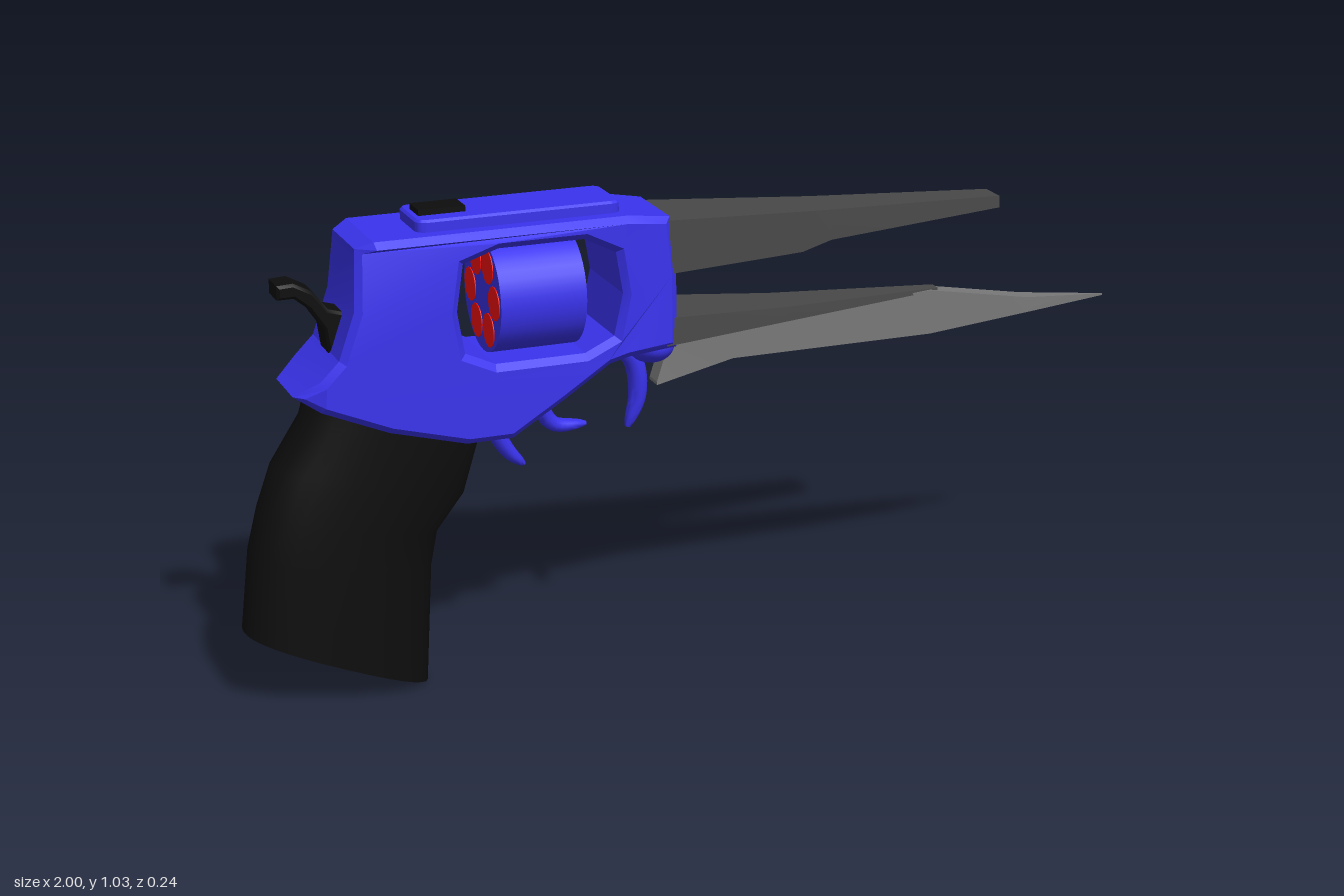
import * as THREE from 'three';
import { toCreasedNormals } from 'three/addons/utils/BufferGeometryUtils.js';

const V = (x, y, z = 0) => new THREE.Vector3(x, y, z);
const mat = (color) => new THREE.MeshStandardMaterial({ color });

// Skin between rings of points, with both ends closed
function loft(rings, crease = 0.5) {
  const out = [];
  const tri = (...p) => p.forEach((v) => out.push(v.x, v.y, v.z));
  const n = rings[0].length;
  const centre = (r) => r.reduce((s, p) => s.add(p), V(0, 0)).divideScalar(n);
  const first = rings[0], last = rings[rings.length - 1];
  const c0 = centre(first), c1 = centre(last);
  for (let j = 0; j < n; j++) {
    const k = (j + 1) % n;
    for (let i = 0; i < rings.length - 1; i++) {
      const a = rings[i], b = rings[i + 1];
      tri(a[j], a[k], b[k]);
      tri(a[j], b[k], b[j]);
    }
    tri(c0, first[k], first[j]);
    tri(c1, last[j], last[k]);
  }
  const g = new THREE.BufferGeometry();
  g.setAttribute('position', new THREE.Float32BufferAttribute(out, 3));
  return toCreasedNormals(g, crease);
}

// Tapered bar along x from sections [x, bottom, top, half width]
const bar = (sections) => loft(sections.map(([x, b, t, w]) =>
  [V(x, t, -w * 0.96), V(x, t, w * 0.96), V(x, b, w), V(x, b, -w)]), 0.3);

// Curved finger piece that thins toward its tip
function hook(points, radius, depth) {
  const curve = new THREE.CatmullRomCurve3(points.map((p) => V(...p)));
  const rings = [], n = 18, m = 12;
  for (let i = 0; i <= n; i++) {
    const u = i / n, c = curve.getPointAt(u), t = curve.getTangentAt(u);
    const s = Math.sqrt(1 - 0.93 * u ** 3);
    rings.push(Array.from({ length: m }, (_, j) => {
      const a = (j / m) * Math.PI * 2, r = radius * s * Math.cos(a);
      return V(c.x - t.y * r, c.y + t.x * r, depth * s * Math.sin(a));
    }));
  }
  return loft(rings, 0.8);
}

// Flat outline extruded evenly about z = 0
function slab(shape, depth, bevel) {
  const g = new THREE.ExtrudeGeometry(shape, {
    depth: depth - 2 * bevel, bevelEnabled: bevel > 0, bevelSize: bevel,
    bevelThickness: bevel, bevelOffset: -bevel, bevelSegments: 1, curveSegments: 6,
  });
  return g.translate(0, 0, -depth / 2 + bevel);
}
const outline = (pts) => new THREE.Shape(pts.map(([x, y]) => new THREE.Vector2(x, y)));

export function createModel() {
  const model = new THREE.Group();
  const blue = mat(0x3a33ee), black = mat(0x0d0d0d), dark = mat(0x484848);
  const light = mat(0x787878), red = mat(0xff1010);
  const add = (name, geometry, material, parent = model) => {
    const mesh = new THREE.Mesh(geometry, material);
    mesh.name = name;
    parent.add(mesh);
    return mesh;
  };

  // Frame with an open window, narrowed at the nose and the rear spur
  const body = outline([
    [-0.755, 0.985], [-0.765, 0.86], [-0.8, 0.76], [-0.84, 0.72], [-0.89, 0.685],
    [-0.84, 0.655], [-0.7, 0.595], [-0.535, 0.55], [-0.435, 0.55], [-0.32, 0.62],
    [-0.22, 0.685], [-0.18, 0.695], [-0.065, 0.7], [-0.065, 0.86], [-0.08, 0.985],
    [-0.18, 1.0], [-0.72, 1.0],
  ]);
  body.holes.push(outline([
    [-0.535, 0.935], [-0.46, 0.96], [-0.275, 0.96], [-0.205, 0.925], [-0.19, 0.835],
    [-0.21, 0.745], [-0.275, 0.715], [-0.47, 0.715], [-0.535, 0.745], [-0.55, 0.835],
  ]));
  const frame = slab(body, 0.226, 0.014);
  const p = frame.attributes.position;
  for (let i = 0; i < p.count; i++) {
    const x = p.getX(i), y = p.getY(i);
    let s = 1 - 0.16 * THREE.MathUtils.smoothstep(x, -0.18, -0.065);
    if (x < -0.84) s = THREE.MathUtils.mapLinear(x, -0.84, -0.89, 1, 0.65);
    if (y > 0.95 && x < -0.735) s = 0.8;
    p.setZ(i, p.getZ(i) * s);
  }
  add('frame', toCreasedNormals(frame, 0.3), blue);

  // Raised top plate and rear sight
  const plate = new THREE.Shape();
  const [L, R, W, c] = [-0.62, -0.18, 0.07, 0.025];
  plate.moveTo(L + c, -W).lineTo(R - c, -W).quadraticCurveTo(R, -W, R, -W + c);
  plate.lineTo(R, W - c).quadraticCurveTo(R, W, R - c, W);
  plate.lineTo(L + c, W).quadraticCurveTo(L, W, L, W - c);
  plate.lineTo(L, -W + c).quadraticCurveTo(L, -W, L + c, -W);
  add('topPlate', toCreasedNormals(slab(plate, 0.05, 0.005).rotateX(-Math.PI / 2), 0.5), blue)
    .position.y = 1.0;
  add('rearSight', new THREE.BoxGeometry(0.1, 0.03, 0.06), black).position.set(-0.555, 1.022, 0);

  // Rotating drum with six red rounds showing at both ends
  const drum = new THREE.Group();
  drum.name = 'drum';
  drum.position.set(-0.37, 0.837, 0);
  model.add(drum);
  add('drumBody', new THREE.CylinderGeometry(0.122, 0.122, 0.186, 40).rotateZ(Math.PI / 2), blue, drum);
  for (let i = 0; i < 6; i++) {
    const a = ((i + 0.5) / 6) * Math.PI * 2;
    add('round', new THREE.CylinderGeometry(0.036, 0.036, 0.19, 16).rotateZ(Math.PI / 2), red, drum)
      .position.set(0, Math.cos(a) * 0.078, Math.sin(a) * 0.078);
  }

  // Grip: rounded sections from [back x, back y, front x, front y]
  const grip = [
    [-0.84, 0.69, -0.49, 0.585], [-0.86, 0.62, -0.485, 0.53], [-0.925, 0.52, -0.52, 0.415],
    [-0.957, 0.43, -0.58, 0.34], [-0.98, 0.34, -0.595, 0.265], [-1.0, 0.165, -0.61, 0.003],
  ].map(([bx, by, fx, fy]) => Array.from({ length: 32 }, (_, j) => {
    const a = (j / 32) * Math.PI * 2;
    const soft = (v) => Math.sign(v) * Math.abs(v) ** 0.8;
    const u = (soft(Math.cos(a)) + 1) / 2;
    return V(bx + (fx - bx) * u, by + (fy - by) * u, soft(Math.sin(a)) * 0.094);
  }));
  add('grip', loft(grip, 0.7), black);

  // Hammer
  add('hammer', toCreasedNormals(slab(outline([
    [-0.905, 0.91], [-0.905, 0.88], [-0.87, 0.88], [-0.84, 0.855], [-0.81, 0.81],
    [-0.8, 0.74], [-0.76, 0.74], [-0.765, 0.84], [-0.8, 0.85], [-0.83, 0.89], [-0.87, 0.912],
  ]), 0.07, 0.006), 0.6), black);

  // Upper and lower tapered barrels
  add('upperBarrel', bar([
    [-0.09, 0.862, 0.977, 0.093], [0.23, 0.87, 0.958, 0.068],
    [0.3, 0.888, 0.954, 0.062], [0.715, 0.91, 0.936, 0.033],
  ]), dark);
  add('lowerBarrel', bar([
    [-0.09, 0.705, 0.766, 0.094], [0.2, 0.716, 0.748, 0.058], [0.58, 0.731, 0.737, 0.014],
  ]), dark);

  // Long blade under the barrels
  add('blade', bar([
    [-0.085, 0.597, 0.604, 0.022], [-0.05, 0.605, 0.712, 0.022], [0.09, 0.636, 0.72, 0.022],
    [0.56, 0.636, 0.735, 0.022], [0.8, 0.658, 0.692, 0.022], [1.0, 0.669, 0.673, 0.001],
  ]), light);

  // Finger hooks and the rounded mount of the front one
  add('frontHook', hook([[-0.165, 0.7], [-0.13, 0.65], [-0.122, 0.575], [-0.145, 0.505]], 0.022, 0.026), blue);
  add('trigger', hook([[-0.3, 0.65], [-0.34, 0.59], [-0.315, 0.535], [-0.24, 0.525]], 0.019, 0.024), blue);
  add('rearHook', hook([[-0.455, 0.58], [-0.435, 0.52], [-0.41, 0.48], [-0.38, 0.452]], 0.019, 0.026), blue);
  const mount = add('hookMount', new THREE.SphereGeometry(1, 24, 16), blue);
  mount.position.set(-0.1, 0.695, 0);
  mount.scale.set(0.055, 0.045, 0.085);

  return model;
}
